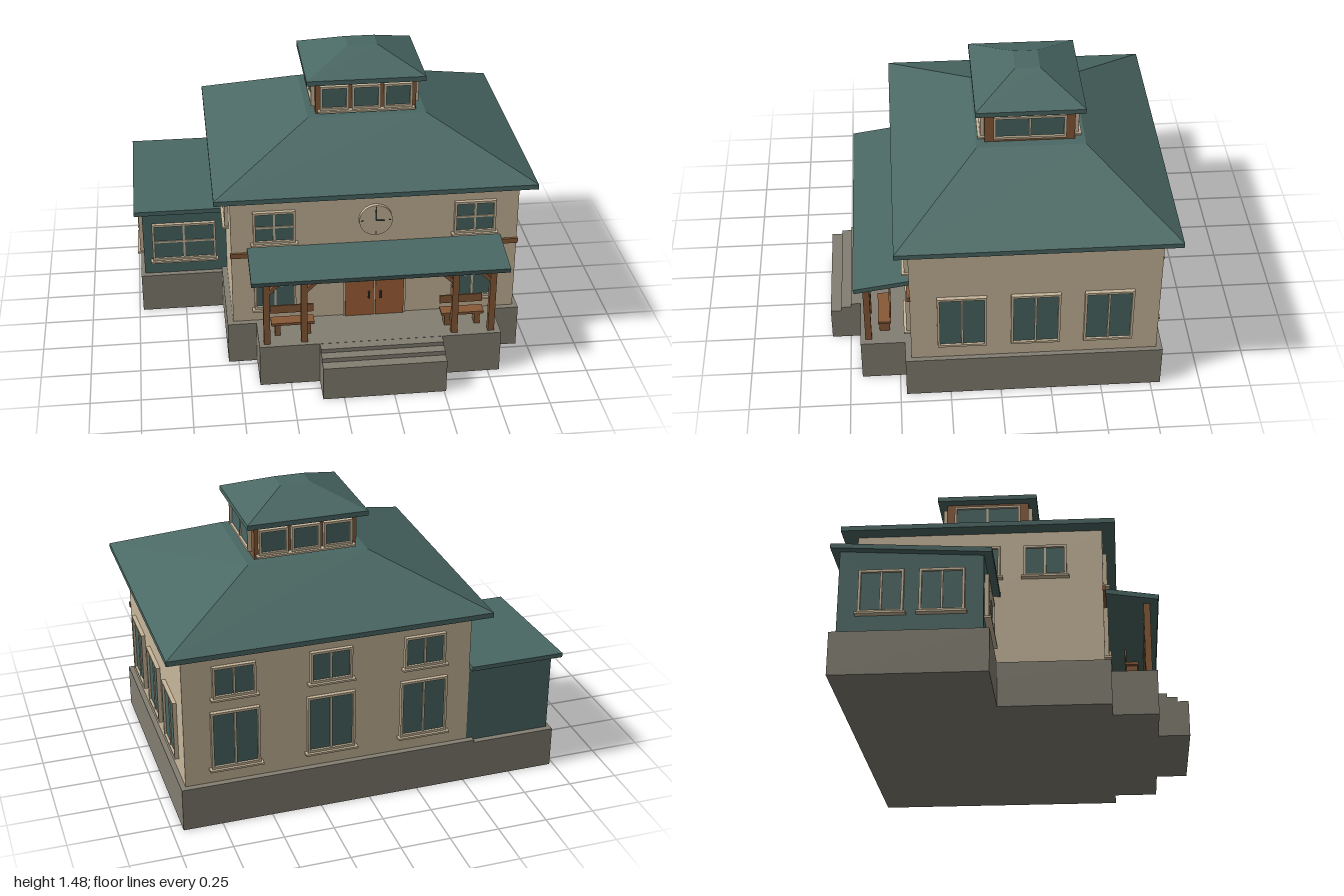
import * as THREE from 'three';

const mat = (name, color) => {
  const m = new THREE.MeshStandardMaterial({ color });
  m.name = name;
  return m;
};

export function createModel() {
  const teal = mat('teal roofing', 0x4a6864);
  const glass = mat('window glass', 0x496662);
  const cream = mat('cream wall', 0xc8b79b);
  const stone = mat('grey stone', 0x837e72);
  const wood = mat('brown timber', 0x875a38);
  const doorWood = mat('orange door wood', 0xa2623a);
  const dark = mat('dark metal', 0x2c3836);

  const root = new THREE.Group();
  root.name = 'stationHouse';

  const add = (parent, name, geometry, material) => {
    const mesh = new THREE.Mesh(geometry, material);
    mesh.name = name;
    parent.add(mesh);
    return mesh;
  };
  // Box given by its limits on each axis
  const box = (parent, name, material, [x0, x1], [y0, y1], [z0, z1]) => {
    const g = new THREE.BoxGeometry(x1 - x0, y1 - y0, z1 - z0);
    g.translate((x0 + x1) / 2, (y0 + y1) / 2, (z0 + z1) / 2);
    return add(parent, name, g, material);
  };
  const group = (name, parent = root) => {
    const g = new THREE.Group();
    g.name = name;
    parent.add(g);
    return g;
  };
  // Side profile of [z, y] points, extended along x
  const profile = (parent, name, material, points, x0, x1) => {
    const shape = new THREE.Shape(points.map(([z, y]) => new THREE.Vector2(-z, y)));
    const g = new THREE.ExtrudeGeometry(shape, { depth: x1 - x0, bevelEnabled: false });
    g.rotateY(Math.PI / 2).translate(x0, 0, 0);
    return add(parent, name, g, material);
  };
  // Eave slab with a hipped slope that narrows to a flat top
  const hipRoof = (name, [x0, x1], [z0, z1], [y0, y1, y2], [tx0, tx1], [tz0, tz1]) => {
    const roof = group(name);
    box(roof, 'eave', teal, [x0, x1], [y0, y1], [z0, z1]);
    const g = new THREE.BoxGeometry(1, 1, 1);
    const p = g.attributes.position;
    for (let i = 0; i < p.count; i++) {
      const top = p.getY(i) > 0, right = p.getX(i) > 0, front = p.getZ(i) > 0;
      p.setXYZ(i,
        top ? (right ? tx1 : tx0) : (right ? x1 : x0),
        top ? y2 : y1,
        top ? (front ? tz1 : tz0) : (front ? z1 : z0));
    }
    g.computeVertexNormals();
    add(roof, 'slope', g, teal);
  };
  // Framed window facing +z, centred at the origin of its own group
  const makeWindow = (parent, name, w, h, cols, rows, sill, [x, y, z], turn = 0) => {
    const win = group(name, parent);
    const t = 0.012, d = 0.02, W = w / 2, H = h / 2;
    box(win, 'glass', glass, [-W + t, W - t], [-H + t, H - t], [0, 0.008]);
    for (const s of [-1, 1]) {
      const fx = s * (W - t / 2), fy = s * (H - t / 2);
      box(win, 'frameSide', cream, [fx - t / 2, fx + t / 2], [-H, H], [0, d]);
      box(win, 'frameRail', cream, [-W + t, W - t], [fy - t / 2, fy + t / 2], [0, d]);
    }
    for (let i = 1; i < cols; i++) {
      const c = -W + (w * i) / cols;
      box(win, 'mullion', cream, [c - 0.005, c + 0.005], [-H + t, H - t], [0, 0.014]);
    }
    for (let i = 1; i < rows; i++) {
      const c = -H + (h * i) / rows;
      box(win, 'glazingBar', cream, [-W + t, W - t], [c - 0.005, c + 0.005], [0, 0.013]);
    }
    if (sill) box(win, 'sill', cream, [-W - 0.012, W + 0.012], [-H - 0.01, -H], [0, 0.033]);
    win.position.set(x, y, z);
    win.rotation.y = turn;
  };
  const LEFT = Math.PI / 2, RIGHT = -Math.PI / 2, BACK = Math.PI;

  // Stone base, porch floor and steps
  const base = group('base');
  box(base, 'mainBase', stone, [-0.55, 0.945], [0, 0.225], [-0.8, 0.47]);
  box(base, 'annexBase', stone, [-0.98, -0.55], [0, 0.212], [-0.8, -0.07]);
  box(base, 'porchFloor', stone, [-0.405, 0.81], [0, 0.225], [0.47, 0.69]);
  [[0.69, 0.74, 0.224], [0.74, 0.79, 0.203], [0.79, 0.845, 0.18]].forEach(([z0, z1, h]) =>
    box(base, 'step', stone, [-0.105, 0.51], [0, h], [z0, z1]));

  // Main house
  const house = group('house');
  box(house, 'walls', cream, [-0.52, 0.92], [0.225, 0.93], [-0.77, 0.44]);
  box(house, 'frontBelt', wood, [-0.525, 0.925], [0.6, 0.626], [0.435, 0.453]);
  for (const x of [-0.305, 0.7]) {
    makeWindow(house, 'frontUpperWindow', 0.21, 0.175, 2, 2, true, [x, 0.767, 0.44]);
    makeWindow(house, 'frontLowerWindow', 0.21, 0.26, 2, 2, true, [x, 0.43, 0.44]);
  }
  for (const x of [-0.28, 0.195, 0.67]) {
    makeWindow(house, 'backUpperWindow', 0.21, 0.165, 2, 1, true, [x, 0.772, -0.77], BACK);
    makeWindow(house, 'backLowerWindow', 0.24, 0.305, 2, 1, true, [x, 0.46, -0.77], BACK);
  }
  for (const z of [0.19, -0.167, -0.523])
    makeWindow(house, 'leftWindow', 0.24, 0.31, 2, 1, false, [0.92, 0.46, z], LEFT);
  for (const z of [0.16, -0.165, -0.49])
    makeWindow(house, 'rightUpperWindow', 0.21, 0.165, 2, 1, true, [-0.52, 0.767, z], RIGHT);
  hipRoof('mainRoof', [-0.6, 1], [-0.845, 0.505], [0.93, 0.955, 1.182], [-0.1, 0.5], [-0.435, 0.092]);

  // Double door
  const doors = group('doubleDoor');
  box(doors, 'doorFrame', cream, [0.04, 0.36], [0.225, 0.582], [0.44, 0.447]);
  for (const s of [-1, 1]) {
    const c = 0.2 + s * 0.077;
    box(doors, 'doorLeaf', doorWood, [c - 0.072, c + 0.072], [0.226, 0.573], [0.44, 0.455]);
    makeWindow(doors, 'doorWindow', 0.118, 0.1, 1, 1, false, [c, 0.485, 0.45]);
    const hx = 0.2 + s * 0.03;
    box(doors, 'handle', dark, [hx - 0.005, hx + 0.005], [0.33, 0.368], [0.455, 0.468]);
  }

  // Clock
  const clock = group('clock');
  clock.position.set(0.2, 0.78, 0.44);
  add(clock, 'clockFace', new THREE.CylinderGeometry(0.083, 0.083, 0.02, 32).rotateX(Math.PI / 2).translate(0, 0, 0.01), cream);
  box(clock, 'minuteHand', dark, [-0.003, 0.003], [0, 0.058], [0.02, 0.024]);
  box(clock, 'hourHand', dark, [0, 0.045], [-0.003, 0.003], [0.02, 0.024]);
  for (let i = 0; i < 4; i++)
    box(clock, 'hourMark', dark, [-0.002, 0.002], [0.064, 0.075], [0.02, 0.023]).rotation.z = (i * Math.PI) / 2;

  // Porch roof, beam, posts and braces
  const porch = group('porch');
  profile(porch, 'porchRoof', teal, [[0.44, 0.65], [0.71, 0.608], [0.705, 0.584], [0.44, 0.625]], -0.44, 0.835);
  box(porch, 'beam', wood, [-0.38, 0.778], [0.572, 0.592], [0.637, 0.663]);
  [[-0.365, 1], [-0.179, 1], [0.575, -1], [0.762, -1]].forEach(([x, side]) => {
    box(porch, 'post', wood, [x - 0.016, x + 0.016], [0.225, 0.59], [0.634, 0.666]);
    const brace = add(porch, 'brace', new THREE.BoxGeometry(0.018, 0.092, 0.022), wood);
    brace.position.set(x + side * 0.037, 0.543, 0.65);
    brace.rotation.z = -side * 0.8;
  });

  // Benches
  for (const x of [-0.23, 0.628]) {
    const bench = group('bench');
    box(bench, 'seat', wood, [x - 0.108, x + 0.108], [0.286, 0.3], [0.535, 0.6]);
    box(bench, 'backrest', wood, [x - 0.108, x + 0.108], [0.324, 0.368], [0.535, 0.543]);
    for (const s of [-1, 1])
      box(bench, 'leg', wood, [x + s * 0.076 - 0.014, x + s * 0.076 + 0.014], [0.225, 0.286], [0.542, 0.594]);
  }

  // Side annex with a shed roof falling to the front
  const annex = group('annex');
  profile(annex, 'annexWalls', teal, [[-0.77, 0.212], [-0.1, 0.212], [-0.1, 0.59], [-0.77, 0.632]], -0.96, -0.52);
  profile(annex, 'annexRoof', teal, [[-0.81, 0.652], [-0.81, 0.629], [-0.06, 0.583], [-0.06, 0.607]], -1, -0.52);
  makeWindow(annex, 'annexFrontWindow', 0.335, 0.215, 2, 2, true, [-0.745, 0.405, -0.1]);
  for (const z of [-0.29, -0.57])
    makeWindow(annex, 'annexSideWindow', 0.21, 0.215, 2, 1, true, [-0.96, 0.412, z], RIGHT);

  // Rooftop lantern
  const lantern = group('lantern');
  box(lantern, 'lanternWalls', wood, [-0.055, 0.455], [1.18, 1.356], [-0.385, 0.05]);
  for (const x of [0.038, 0.2, 0.362]) {
    makeWindow(lantern, 'lanternFrontWindow', 0.145, 0.13, 1, 1, true, [x, 1.27, 0.05]);
    makeWindow(lantern, 'lanternBackWindow', 0.145, 0.13, 1, 1, true, [x, 1.27, -0.385], BACK);
  }
  makeWindow(lantern, 'lanternLeftWindow', 0.35, 0.13, 2, 1, false, [0.455, 1.27, -0.167], LEFT);
  makeWindow(lantern, 'lanternRightWindow', 0.35, 0.13, 2, 1, false, [-0.055, 1.27, -0.167], RIGHT);
  hipRoof('lanternRoof', [-0.105, 0.497], [-0.43, 0.096], [1.355, 1.38, 1.48], [0.125, 0.275], [-0.228, -0.108]);

  return root;
}
